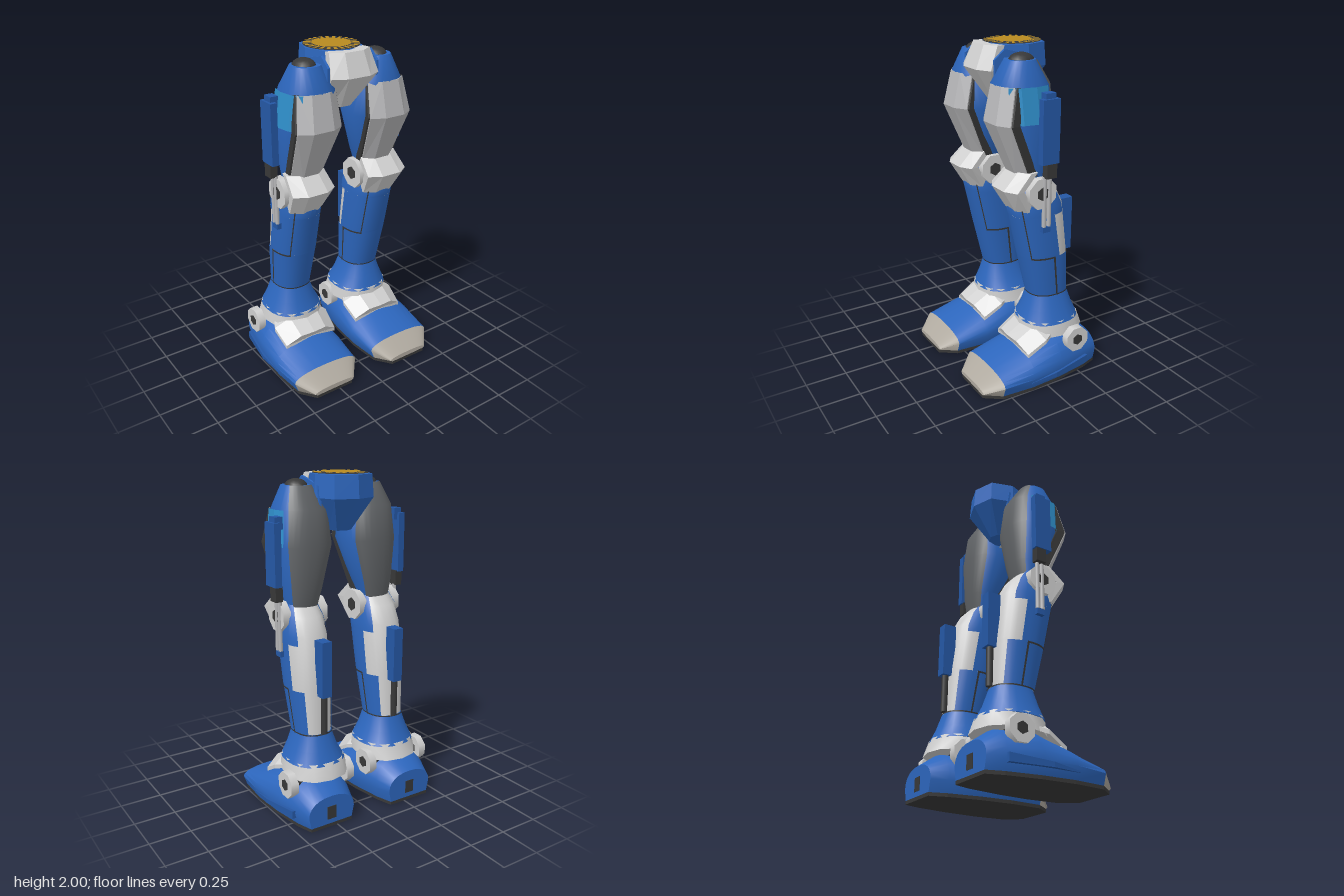
import * as THREE from 'three';
import { toCreasedNormals } from 'three/addons/utils/BufferGeometryUtils.js';

const material = (name, color) => {
  const m = new THREE.MeshStandardMaterial({ color });
  m.name = name;
  return m;
};
const blue = material('blue armour', 0x2c66bd), navy = material('dark blue', 0x2558a6);
const light = material('light grey', 0xd0d0d0), steel = material('steel grey', 0xb6b6b8);
const rubber = material('dark grey', 0x606366), black = material('charcoal', 0x383838);
const gold = material('gold', 0xb88a20), cyan = material('cyan', 0x2f8fcb);
const toe = material('warm grey', 0xb0aaa0);

const range = (n, f) => Array.from({ length: n }, (_, i) => f(i));
const pw = (t, p) => Math.sign(t) * Math.abs(t) ** p;

// Skin a series of rings; each ring runs counter-clockwise seen from the end it advances to.
function loft(rings, crease = 0, closed = true) {
  const v = [], n = rings[0].length;
  const tri = (a, b, c) => v.push(...a, ...b, ...c);
  for (let j = 0; j < rings.length - 1; j++) {
    for (let i = 0; i < (closed ? n : n - 1); i++) {
      const k = (i + 1) % n, p = rings[j], q = rings[j + 1];
      tri(p[i], p[k], q[k]);
      tri(p[i], q[k], q[i]);
    }
  }
  if (closed) {
    const mid = r => [0, 1, 2].map(d => r.reduce((s, p) => s + p[d], 0) / n);
    const first = rings[0], last = rings[rings.length - 1], a = mid(first), b = mid(last);
    for (let i = 0; i < n; i++) {
      const k = (i + 1) % n;
      tri(a, first[k], first[i]);
      tri(b, last[i], last[k]);
    }
  }
  const g = new THREE.BufferGeometry();
  g.setAttribute('position', new THREE.Float32BufferAttribute(v, 3));
  g.computeVertexNormals();
  return crease ? toCreasedNormals(g, crease) : g;
}

// Part of a row table between two values of its first column, ends interpolated.
function slice(rows, lo, hi) {
  const at = t => {
    const i = Math.max(1, rows.findIndex(r => r[0] >= t - 1e-6));
    const a = rows[i - 1], b = rows[i], f = (t - a[0]) / (b[0] - a[0]);
    return a.map((x, d) => x + (b[d] - x) * f);
  };
  return [at(lo), ...rows.filter(r => r[0] > lo + 1e-4 && r[0] < hi - 1e-4), at(hi)];
}

// Limb rows are [y, xCentre, halfWidth, zMin, zMax]; angle 0 faces +z and 90 faces +x.
function limbPoint([y, x, w, z0, z1], deg, grow) {
  const a = deg * Math.PI / 180;
  return [x + (w + grow) * pw(Math.sin(a), 0.85), y,
    (z0 + z1) / 2 + ((z1 - z0) / 2 + grow) * pw(Math.cos(a), 0.85)];
}
const limb = (rows, n = 24, crease = 0.6) =>
  loft(rows.map(r => range(n, i => limbPoint(r, i * 360 / n, 0))), crease);
function panel(rows, y0, y1, a0, a1, grow, step = 12, crease = 0.6) {
  const n = Math.max(1, Math.round((a1 - a0) / step));
  return loft(slice(rows, y0, y1).map(r =>
    range(n + 1, i => limbPoint(r, a0 + (a1 - a0) * i / n, grow))), crease, false);
}

// Faceted armour plate bulging to +z; rows are [y, xCentre, halfWidth, zFront].
const plate = (rows, drop, grow = 0) => loft(rows.map(([y, x, half, z]) => {
  const w = half + grow, f = z - grow * 1.5, back = f - drop - 0.05;
  return [[x - w, y, f - drop], [x - w * 0.46, y, f - 0.01], [x + w * 0.46, y, f - 0.01],
    [x + w, y, f - drop], [x + w * 0.94, y, back], [x - w * 0.94, y, back]];
}));

const box = (w, h, d, x, y, z) => new THREE.BoxGeometry(w, h, d).translate(x, y, z);
const rod = (r, h, x, y, z) => new THREE.CylinderGeometry(r, r, h, 10).translate(x, y, z);
const disc = (r, w, x, y, z, n) => new THREE.CylinderGeometry(r, r, w, n).toNonIndexed()
  .rotateY(Math.PI / n).rotateZ(Math.PI / 2).translate(x, y, z);

// Row tables of the limb sections
const thigh = [[1.25, 0.255, 0.095, -0.1, 0.07], [1.35, 0.248, 0.118, -0.118, 0.1],
  [1.6, 0.225, 0.17, -0.138, 0.19], [1.8, 0.227, 0.148, -0.116, 0.196], [1.93, 0.237, 0.083, -0.035, 0.13]];
const shin = [[0.52, 0.262, 0.106, -0.258, -0.015], [0.8, 0.262, 0.125, -0.244, 0.052],
  [1.1, 0.262, 0.125, -0.208, 0.122], [1.2, 0.262, 0.113, -0.155, 0.085], [1.27, 0.26, 0.09, -0.09, 0.04]];
const thighPlate = [[1.29, 0.25, 0.105, 0.115], [1.6, 0.242, 0.143, 0.25], [1.8, 0.233, 0.123, 0.205]];
// Foot rows: [z, halfWidth, top]
const foot = [[-0.4, 0.155, 0.195], [-0.3, 0.19, 0.265], [-0.1, 0.225, 0.285],
  [0.1, 0.239, 0.21], [0.3, 0.222, 0.135], [0.4, 0.14, 0.05]];
const footX = 0.287;

const footLoft = (z0, z1) => loft(slice(foot, z0, z1).map(([z, w, top]) => {
  const mid = Math.min(0.09, top * 0.6);
  const arch = range(13, i => {
    const t = i * Math.PI / 12;
    return [footX + w * pw(Math.cos(t), 0.85), mid + (top - mid) * Math.abs(Math.sin(t)) ** 0.9, z];
  });
  return [[footX + w * 0.9, 0.02, z], ...arch, [footX - w * 0.9, 0.02, z]];
}), 0.6);
const sole = () => loft(foot.map(([z, half]) => {
  const a = footX + half * 0.9, b = footX - half * 0.9;
  return [[a, 0, z], [a, 0.021, z], [b, 0.021, z], [b, 0, z]];
}));
// Instep guard: a slab sloping forward whose sides bend down
const guard = () => loft([[-0.08, 0.37, 0.14], [0.02, 0.34, 0.19], [0.14, 0.27, 0.178]].map(([z, y, w]) => {
  const edge = (u, h) => [0.262 + w * u, y - h - 0.06 * u ** 4, z - 0.04 * u * u];
  return [...range(5, i => edge(1 - i / 2, 0)), ...range(5, i => edge(i / 2 - 1, 0.025))];
}));
// Pointed fin beside the pelvis
const fin = () => loft([0.155, 0.17].map(x =>
  [[x, 1.8, 0.16], [x, 1.8, -0.1], [x, 1.93, -0.08], [x, 1.975, 0.1], [x, 1.92, 0.165]]));
// Low wedge along the outer side of the foot
const blade = () => loft([[-0.3, 0.494], [-0.05, 0.53], [0.12, 0.52]].map(([z, x], i) => {
  const y = 0.085 - i * 0.012, h = 0.024 - i * 0.01;
  return [[x, y - h, z], [x, y + h, z], [x - 0.04, y + h, z], [x - 0.04, y - h, z]];
}));

function addThigh(put) {
  put('thigh', limb(thigh), blue);
  put('hipCap', new THREE.SphereGeometry(1, 16, 10).scale(0.065, 0.045, 0.075).translate(0.24, 1.92, 0.04), black);
  put('hipFin', fin(), blue);
  put('thighBackPanel', panel(thigh, 1.25, 1.93, 128, 232, 0.005), rubber);
  put('thighSidePanel', panel(thigh, 1.6, 1.8, 38, 118, 0.012, 27, 0), cyan);
  put('thighPlateRim', plate(thighPlate, 0.055, 0.008), black);
  put('thighPlate', plate(thighPlate, 0.055), steel);
  // Outer piston
  put('thighPistonBody', box(0.042, 0.36, 0.11, 0.429, 1.56, -0.025), navy);
  put('thighPistonTop', box(0.05, 0.07, 0.065, 0.41, 1.735, -0.028), navy);
  put('thighPistonCollar', box(0.045, 0.09, 0.065, 0.422, 1.34, -0.038), black);
  for (const z of [-0.014, -0.046]) put('thighPistonRod', rod(0.013, 0.3, 0.408, 1.15, z), steel);
  put('thighPistonFoot', box(0.035, 0.037, 0.05, 0.398, 0.983, -0.03), navy);
}

// Octagonal discs at both ends of a cross axle
function addJoint(put, name, x0, x1, y, z, r) {
  for (const x of [x0 + 0.024, x1 - 0.024]) put(name + 'Disc', disc(r, 0.048, x, y, z, 8), light);
  put(name + 'Axle', disc(r * 0.43, x1 - x0 + 0.008, (x0 + x1) / 2, y, z, 6), black);
}

function addShin(put) {
  addJoint(put, 'knee', 0.115, 0.41, 1.2, -0.005, 0.095);
  put('kneePad', plate([[1.09, 0.262, 0.113, 0.13], [1.225, 0.26, 0.14, 0.212], [1.32, 0.26, 0.125, 0.115]], 0.055), light);
  put('shinCore', limb(shin), light);
  // Blue shells wrap further round the leg at the top and bottom
  put('shinShellLower', panel(shin, 0.52, 0.785, -138, 138, 0.006), blue);
  put('shinShellUpper', panel(shin, 0.785, 1.05, -104, 104, 0.006), blue);
  put('shinShellTop', panel(shin, 1.05, 1.27, -132, 132, 0.006), blue);
  // Dark panel lines
  for (const [y0, y1, a, b] of [[0.78, 1.1, 38, 41], [0.777, 0.788, 38, 93], [0.52, 0.78, 90, 93]]) {
    put('shinPanelLine', panel(shin, y0, y1, a, b, 0.011), black);
    put('shinPanelLine', panel(shin, y0, y1, -b, -a, 0.011), black);
  }
  put('ankleSeam', panel(shin, 0.52, 0.528, -180, 180, 0.009), black);
  put('calfPiston', box(0.063, 0.33, 0.08, 0.253, 0.925, -0.26), navy);
  put('calfPistonRod', rod(0.02, 0.25, 0.253, 0.655, -0.268), black);
}

function addFoot(put) {
  put('ankleFlare', limb([[0.35, 0.258, 0.178, -0.33, 0.045], [0.43, 0.262, 0.138, -0.292, 0.015],
    [0.525, 0.262, 0.106, -0.26, -0.012]]), blue);
  put('ankleRing', limb([[0.27, 0.258, 0.188, -0.362, 0.055], [0.365, 0.258, 0.174, -0.328, 0.045]], 12), light);
  put('instepGuard', guard(), light);
  addJoint(put, 'ankle', 0.06, 0.495, 0.245, -0.22, 0.082);
  put('foot', footLoft(-0.4, 0.3), blue);
  put('toeCap', footLoft(0.3, 0.4), toe);
  put('sole', sole(), black);
  put('heelPatch', box(0.06, 0.08, 0.008, footX, 0.09, -0.399), black);
  put('footSideBlade', blade(), navy);
}

function addPelvis(put) {
  put('pelvisBlock', limb([[1.67, 0, 0.065, -0.11, 0.05], [1.86, 0, 0.178, -0.24, 0.13],
    [1.99, 0, 0.17, -0.23, 0.125]], 8, 0), blue);
  put('pelvisFrontPlate', plate([[1.665, 0, 0.07, 0.1], [1.86, 0, 0.158, 0.235], [1.99, 0, 0.135, 0.18]], 0.055), light);
  // Cap with a gold centre and radiating stripes
  const flat = (g, y) => g.rotateX(-Math.PI / 2).scale(0.16, 1, 0.168).translate(0, y, -0.05);
  put('capBase', flat(new THREE.CircleGeometry(1, 32), 1.994), black);
  put('capCentre', flat(new THREE.CircleGeometry(0.68, 32), 2), gold);
  const step = Math.PI / 12;
  for (let i = 0; i < 24; i++) {
    put('capStripe', flat(new THREE.RingGeometry(0.68, 0.98, 1, 1, i * step, step / 2), 1.999), gold);
  }
}

function mirrored(geometry) {
  const g = geometry.index ? geometry.toNonIndexed() : geometry;
  g.applyMatrix4(new THREE.Matrix4().makeScale(-1, 1, 1));
  g.setIndex(range(g.attributes.position.count, i => i % 3 ? i + 3 - 2 * (i % 3) : i));
  return g;
}

export function createModel() {
  const model = new THREE.Group();
  model.name = 'mechanicalLegs';
  const section = (groupName, builders, place) => {
    const group = new THREE.Group();
    group.name = groupName;
    model.add(group);
    const put = (name, geometry, mat) => {
      const mesh = new THREE.Mesh(place(geometry), mat);
      mesh.name = name;
      group.add(mesh);
    };
    builders.forEach(build => build(put));
  };
  section('pelvis', [addPelvis], g => g);
  section('leftLeg', [addThigh, addShin, addFoot], g => g);
  section('rightLeg', [addThigh, addShin, addFoot], mirrored);
  return model;
}
